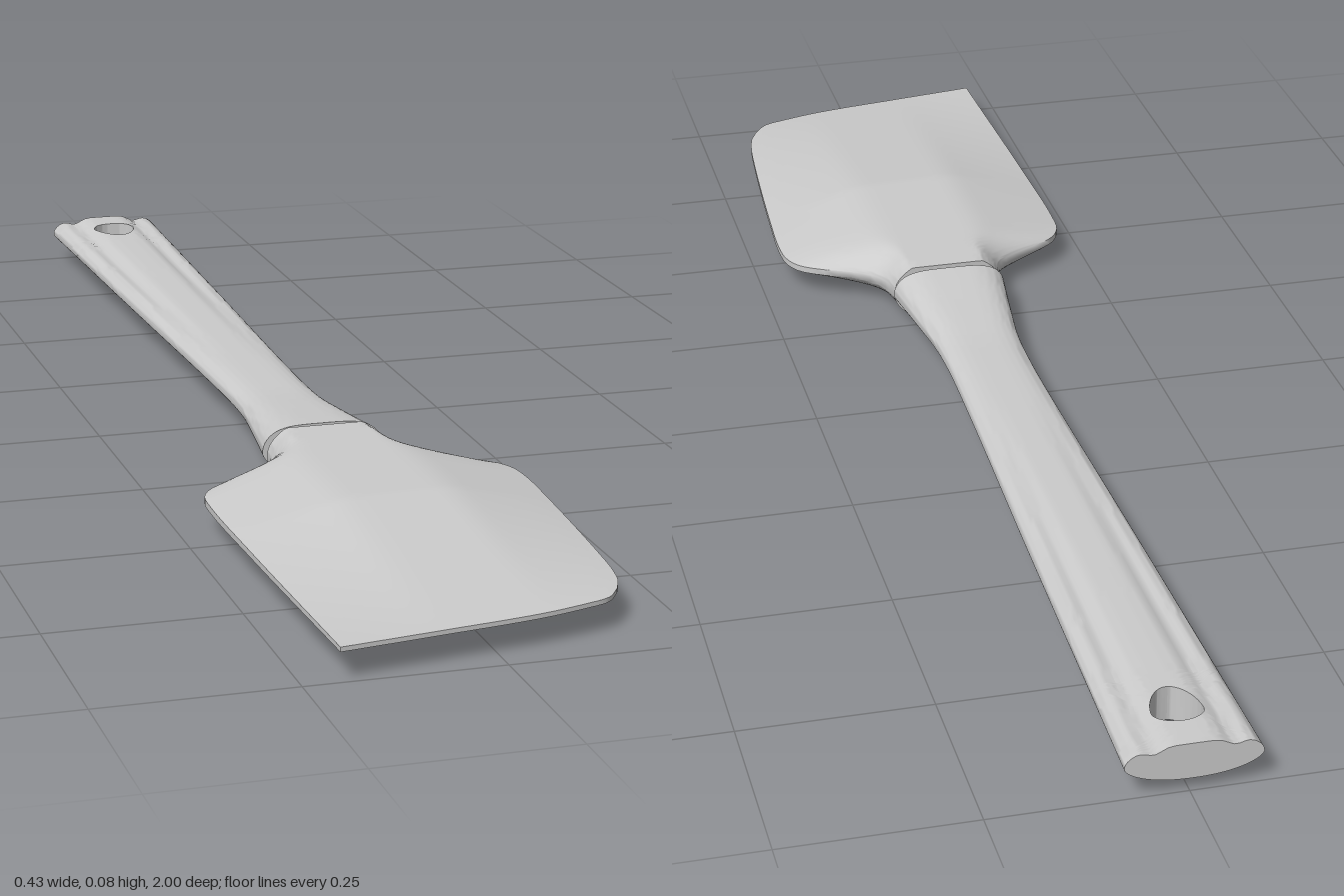
import * as THREE from 'three';
import { toCreasedNormals } from 'three/addons/utils/BufferGeometryUtils.js';

const material = new THREE.MeshStandardMaterial({ color: 0xcccccc });
const CX = -0.005; // centre line of the handle
const clamp = THREE.MathUtils.clamp, lerp = THREE.MathUtils.lerp;

// Smooth curve through [position, value] pairs
function curve(pts) {
  const slope = (i) => {
    const a = pts[Math.max(0, i - 1)], b = pts[Math.min(pts.length - 1, i + 1)];
    return (b[1] - a[1]) / (b[0] - a[0]);
  };
  return (p) => {
    let i = 0;
    while (i < pts.length - 2 && p > pts[i + 1][0]) i++;
    const [x0, y0] = pts[i], [x1, y1] = pts[i + 1], h = x1 - x0;
    const t = clamp((p - x0) / h, 0, 1), t2 = t * t, t3 = t2 * t;
    return (2 * t3 - 3 * t2 + 1) * y0 + (t3 - 2 * t2 + t) * h * slope(i)
      + (3 * t2 - 2 * t3) * y1 + (t3 - t2) * h * slope(i + 1);
  };
}

// Closed solid between a top and a bottom sheet; fn(i, j) gives [x, z, top, bottom]
function shell(name, cols, rows, fn) {
  const pos = [], index = [], n = (cols + 1) * (rows + 1);
  const id = (i, j) => j * (cols + 1) + i;
  const under = [];
  for (let j = 0; j <= rows; j++) for (let i = 0; i <= cols; i++) {
    const [x, z, top, bottom] = fn(i, j);
    pos.push(x, top, z);
    under.push(x, bottom, z);
  }
  for (let j = 0; j < rows; j++) for (let i = 0; i < cols; i++) {
    const a = id(i, j), b = id(i + 1, j), c = id(i, j + 1), d = id(i + 1, j + 1);
    index.push(a, c, b, b, c, d, n + a, n + b, n + c, n + b, n + d, n + c);
  }
  // walls around the border
  const rim = [];
  for (let i = 0; i < cols; i++) rim.push(id(i, 0));
  for (let j = 0; j < rows; j++) rim.push(id(cols, j));
  for (let i = cols; i > 0; i--) rim.push(id(i, rows));
  for (let j = rows; j > 0; j--) rim.push(id(0, j));
  rim.forEach((a, k) => {
    const b = rim[(k + 1) % rim.length];
    index.push(a, b, n + a, b, n + b, n + a);
  });
  const geo = new THREE.BufferGeometry();
  geo.setAttribute('position', new THREE.Float32BufferAttribute(pos.concat(under), 3));
  geo.setIndex(index);
  const mesh = new THREE.Mesh(toCreasedNormals(geo, 0.7), material);
  mesh.name = name;
  return mesh;
}

// Handle section: arched underside, top with two fading grooves
const handleWidth = curve([[-1, 0.086], [-0.5, 0.073], [-0.05, 0.06], [0.08, 0.061], [0.18, 0.072], [0.27, 0.084]]);
const handleTop = curve([[-1, 0.024], [-0.4, 0.02], [0.05, 0.02], [0.15, 0.026], [0.27, 0.036]]);
const handleBottom = curve([[-1, 0.025], [-0.4, 0.023], [0.05, 0.023], [0.15, 0.028], [0.27, 0.034]]);
function handlePoint(s, z) {
  const a = Math.min(1, Math.abs(s));
  const groove = 0.008 * clamp((-0.1 - z) / 0.6, 0, 1) * Math.exp(-(((a - 0.58) / 0.15) ** 2));
  const mid = 0.044;
  return [
    CX + s * handleWidth(z), z,
    mid + handleTop(z) * Math.sqrt(1 - a ** 4) - groove * (1 - a ** 8),
    mid - handleBottom(z) * (1 - a ** 2.2) ** 0.6,
  ];
}
const across = (i, n) => Math.sin((i / n - 0.5) * Math.PI);

function handleGrip() {
  return shell('handleGrip', 32, 60, (i, j) => handlePoint(across(i, 32), lerp(-0.84, 0.27, j / 60)));
}

// End of the handle, meshed in rings around the hanging hole
function handleEnd() {
  const n = 32, border = [];
  for (let i = 0; i < n; i++) border.push([1, lerp(-0.84, -1, i / n)]);
  for (let i = 0; i < n; i++) border.push([-across(i, n), -1]);
  for (let i = 0; i < n; i++) border.push([-1, lerp(-1, -0.84, i / n)]);
  for (let i = 0; i <= n; i++) border.push([across(i, n), -0.84]);
  return shell('handleEnd', border.length - 1, 14, (i, j) => {
    const [s, z] = border[i];
    const a = Math.atan2((z + 0.92) / 0.08, s), sn = Math.sin(a);
    const hs = 0.38 * Math.cos(a) * (1 - 0.18 * sn);
    const hz = -0.92 + (sn > 0 ? 0.045 : 0.03) * sn;
    const t = Math.sin((j / 14) * Math.PI / 2);
    return handlePoint(lerp(hs, s, t), lerp(hz, z, t));
  });
}

// Narrow core joining handle and blade
function neck() {
  return shell('neck', 24, 1, (i, j) => {
    const s = across(i, 24), h = 0.03 * Math.sqrt(Math.max(0, 1 - s ** 4));
    return [CX + 0.074 * s, 0.26 + 0.04 * j, 0.043 + h, 0.043 - h];
  });
}

// Blade: thick round spine thinning to the edges, with a slanted tip
const leftEdge = curve([[0, -0.085], [0.03, -0.087], [0.08, -0.1], [0.115, -0.13], [0.15, -0.178],
  [0.18, -0.202], [0.23, -0.215], [0.5, -0.214], [1, -0.204]]);
const rightEdge = curve([[0, 0.075], [0.035, 0.078], [0.085, 0.092], [0.12, 0.12], [0.16, 0.172],
  [0.195, 0.2], [0.26, 0.214], [0.44, 0.212], [0.84, 0.195], [0.95, 0.185], [1, 0.172]]);
const tip = curve([[0, 0.998], [0.35, 0.978], [0.68, 0.958], [0.87, 0.938], [0.95, 0.925], [1, 0.9]]);
function blade() {
  const cols = 48, rows = 72;
  return shell('blade', cols, rows, (i, j) => {
    const u = (across(i, cols) + 1) / 2, v = j / rows;
    const l = leftEdge(v), r = rightEdge(v), x = lerp(l, r, u);
    const half = x < CX ? CX - l : r - CX;
    const d = x < CX ? x - l : r - x;
    const t = clamp(d / Math.max(0.03, half - 0.055), 0, 1);
    const ramp = t < 0.75 ? 1.143 * t : 1 - 2.286 * (1 - t) ** 2;
    const f = ramp ** lerp(0.5, 1, clamp(v / 0.2, 0, 1));
    const k = clamp((1 - v) / 0.56, 0, 1);
    const rim = lerp(0.005, 0.003, v);
    const h = rim + (0.0395 - rim) * f * k;
    return [x, lerp(0.28, tip(u), v), 0.041 + h, 0.041 - h];
  });
}

export function createModel() {
  const group = new THREE.Group();
  group.name = 'spatula';
  group.add(handleGrip(), handleEnd(), neck(), blade());
  return group;
}
